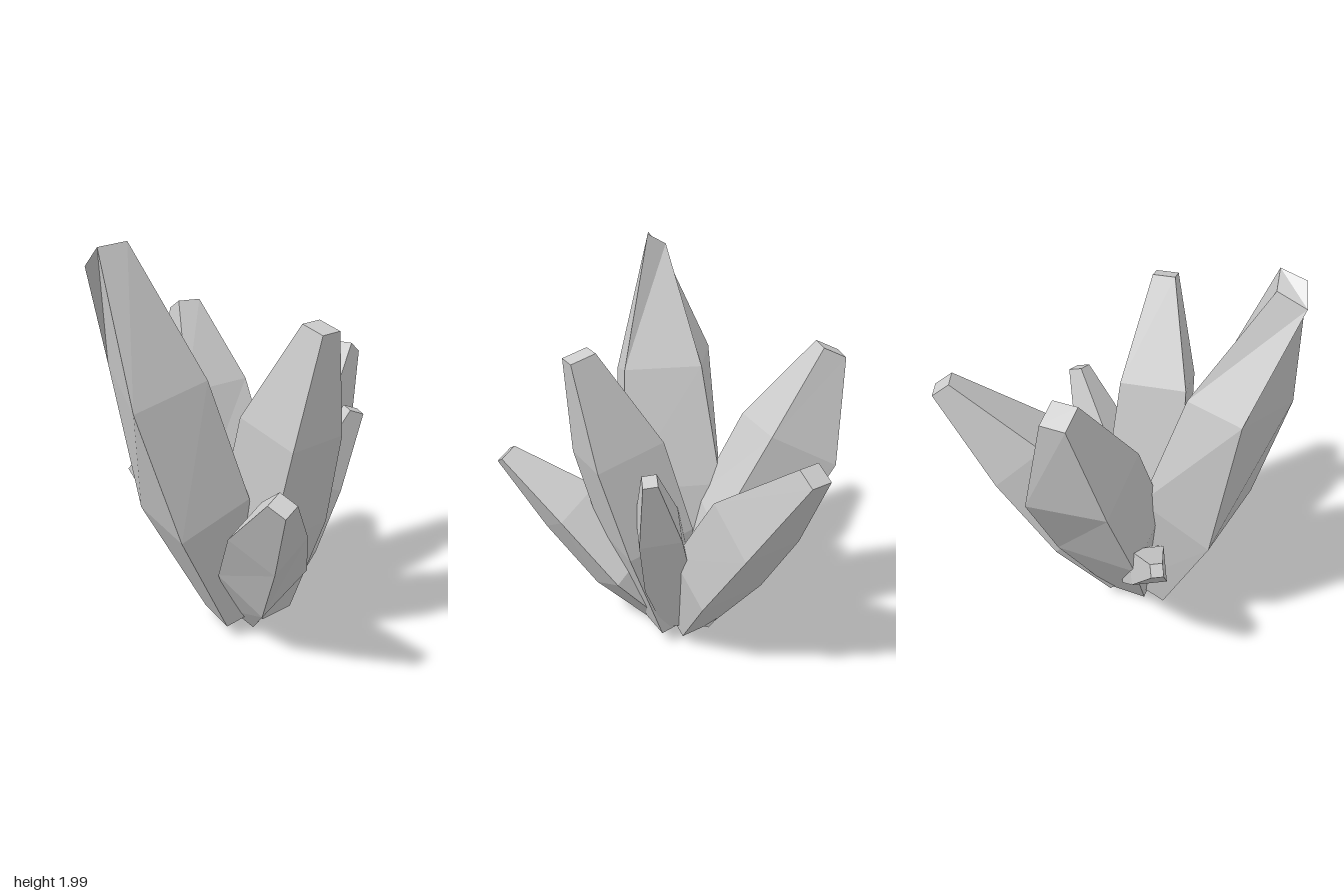
import * as THREE from 'three';

const material = new THREE.MeshStandardMaterial({ color: 0xcccccc, flatShading: true });

// Rings along every shard: position from base to tip, width factor, depth factor, bow
const RINGS = [
  [0, 0.6, 0.5, 0],
  [0.34, 1.16, 1.0, 1],
  [0.66, 1, 1, 1],
  [1, 0.34, 0.36, 0],
];

// Four-sided tapering shard: half width and half depth are those of the third ring,
// bow shifts the middle rings, roll turns the shard about its length,
// chips move single corners: [ring, corner, dx, dy, dz]
function shard(name, base, tip, halfWidth, halfDepth, { bow = [0, 0, 0], roll = 0, chips = [] }) {
  const a = new THREE.Vector3(...base), b = new THREE.Vector3(...tip);
  const shift = new THREE.Vector3(...bow);
  const dir = b.clone().sub(a).normalize();
  const u = new THREE.Vector3(0, 1, 0).cross(dir).normalize().applyAxisAngle(dir, roll);
  const v = dir.clone().cross(u);
  const points = [], index = [];
  for (const [t, w, d, bend] of RINGS) {
    for (const [su, sv] of [[-1, -1], [1, -1], [1, 1], [-1, 1]]) {
      const p = a.clone().lerp(b, t)
        .addScaledVector(shift, bend)
        .addScaledVector(u, su * halfWidth * w)
        .addScaledVector(v, sv * halfDepth * d);
      points.push(p.x, p.y, p.z);
    }
  }
  for (const [ring, corner, ...move] of chips) {
    move.forEach((m, k) => { points[(ring * 4 + corner) * 3 + k] += m; });
  }
  for (let r = 0; r < RINGS.length - 1; r++) {
    for (let i = 0; i < 4; i++) {
      const p = r * 4 + i, q = r * 4 + (i + 1) % 4;
      index.push(p, q, q + 4, p, q + 4, p + 4);
    }
  }
  // End caps
  const e = (RINGS.length - 1) * 4;
  index.push(0, 2, 1, 0, 3, 2, e, e + 1, e + 2, e, e + 2, e + 3);

  const indexed = new THREE.BufferGeometry();
  indexed.setAttribute('position', new THREE.Float32BufferAttribute(points, 3));
  indexed.setIndex(index);
  const geometry = indexed.toNonIndexed();
  geometry.computeVertexNormals();
  const mesh = new THREE.Mesh(geometry, material);
  mesh.name = name;
  return mesh;
}

export function createModel() {
  const group = new THREE.Group();
  group.name = 'crystalCluster';
  group.add(
    shard('tallShard', [-0.18, 0.09, -0.03], [-0.775, 1.95, -0.065], 0.22, 0.19, {
      chips: [
        [1, 0, 0, -0.04, 0], [1, 1, 0, -0.04, 0.02], [2, 0, 0.06, 0.12, -0.05], [2, 3, 0, 0, 0.04],
        [3, 0, -0.02, -0.04, 0.03], [3, 1, 0.02, 0.05, -0.04],
        [3, 2, 0.02, 0.03, -0.02], [3, 3, -0.01, -0.03, 0.03],
      ],
    }),
    shard('frontShard', [-0.02, 0.1, 0.03], [0.02, 1.625, 0.46], 0.165, 0.18,
      { bow: [-0.03, 0.02, -0.03], roll: 0.15 }),
    shard('backShard', [-0.05, 0.09, -0.09], [-0.04, 1.545, -0.795], 0.18, 0.18, {
      bow: [0, 0.03, -0.01],
      chips: [[2, 0, 0.02, 0, -0.06], [2, 3, 0.01, 0.02, -0.05]],
    }),
    shard('leftShard', [0.02, 0.1, -0.08], [0.79, 1.285, -0.44], 0.165, 0.145, {
      bow: [-0.06, 0, 0.03],
      chips: [[1, 0, -0.01, -0.02, 0], [1, 1, -0.01, -0.02, 0], [2, 2, 0, 0.04, 0], [2, 3, 0, 0.04, 0]],
    }),
    shard('lowFrontShard', [-0.09, 0.08, 0.02], [-0.39, 0.975, 0.81], 0.125, 0.135, {
      bow: [0.01, 0.02, -0.04], roll: Math.PI / 4,
      chips: [[1, 0, 0, -0.04, 0], [1, 1, 0.05, -0.03, 0], [1, 2, 0.04, -0.02, 0]],
    }),
    shard('smallSideShard', [0.04, 0.13, 0.01], [0.39, 1.13, 0.205], 0.105, 0.11,
      { bow: [-0.06, -0.01, -0.01], roll: 0.38 }),
    shard('smallBackShard', [-0.03, 0.12, -0.04], [-0.43, 0.735, -0.655], 0.085, 0.085,
      { bow: [0, 0.02, 0] }),
  );
  return group;
}
